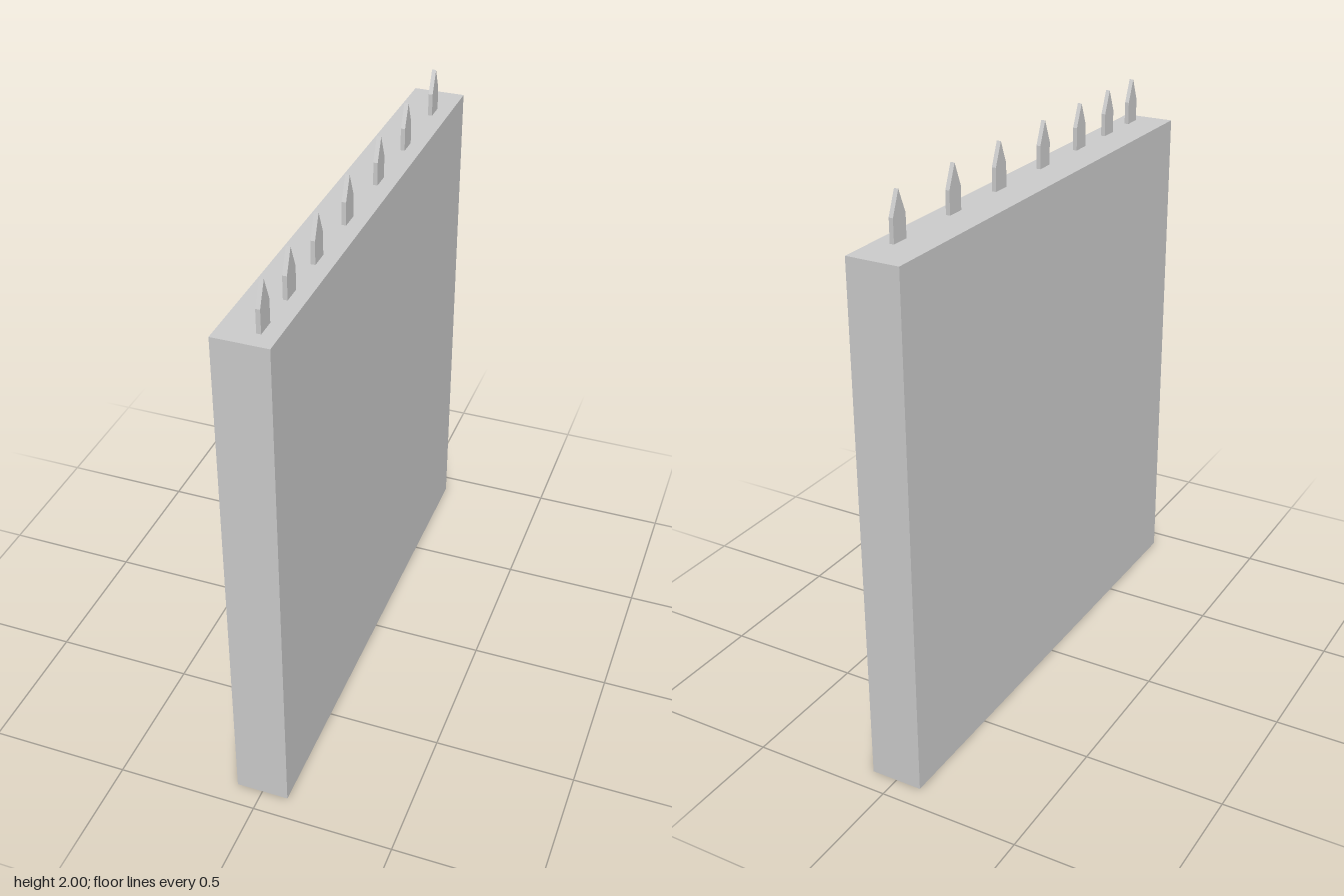
import * as THREE from 'three';

export function createModel() {
  const group = new THREE.Group();
  const material = new THREE.MeshStandardMaterial({ color: 0xcccccc, flatShading: true });
  const wallHeight = 1.84;

  // Solid wall slab
  const wall = new THREE.Mesh(new THREE.BoxGeometry(0.186, wallHeight, 1.84), material);
  wall.name = 'wall';
  wall.position.y = wallHeight / 2;
  group.add(wall);

  // Thin pointed spike, its outline lying across the wall's length
  const half = 0.033, shoulder = 0.08, tip = 0.16, thickness = 0.015;
  const outline = new THREE.Shape([
    new THREE.Vector2(-half, 0),
    new THREE.Vector2(half, 0),
    new THREE.Vector2(half, shoulder),
    new THREE.Vector2(0, tip),
    new THREE.Vector2(-half, shoulder),
  ]);
  const spikeGeometry = new THREE.ExtrudeGeometry(outline, { depth: thickness, bevelEnabled: false });
  spikeGeometry.translate(0, 0, -thickness / 2).rotateY(-Math.PI / 2);

  // Unevenly spaced row of spikes, set off the wall's centre line
  const spikes = new THREE.Group();
  spikes.name = 'spikes';
  for (const z of [0.825, 0.63, 0.41, 0.145, -0.15, -0.43, -0.738]) {
    const spike = new THREE.Mesh(spikeGeometry, material);
    spike.name = 'spike';
    spike.position.set(0.032, wallHeight, z);
    spikes.add(spike);
  }
  group.add(spikes);

  return group;
}
